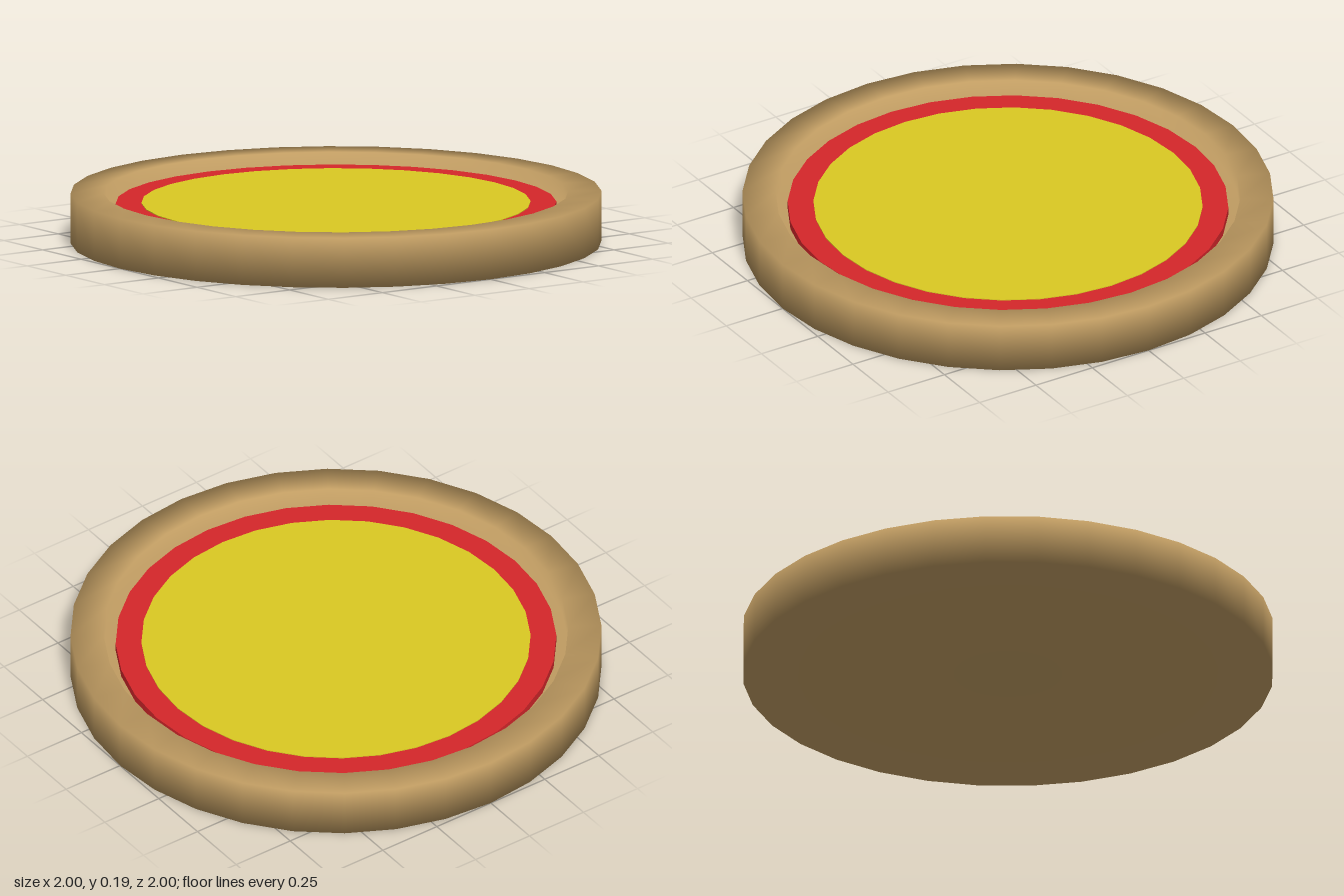
import * as THREE from 'three';
import { mergeVertices } from 'three/addons/utils/BufferGeometryUtils.js';

const SIDES = 32;

// Revolve a profile of [radius, height] pairs, listed from bottom to top
function revolve(profile) {
  const points = profile.map(([r, y]) => new THREE.Vector2(r, y));
  return new THREE.LatheGeometry(points, SIDES);
}

function part(name, geometry, color) {
  const mesh = new THREE.Mesh(geometry, new THREE.MeshStandardMaterial({ color }));
  mesh.name = name;
  return mesh;
}

// Flat-topped disc resting in the crust
function disc(name, radius, bottom, top, color) {
  const geometry = new THREE.CylinderGeometry(radius, radius, top - bottom, SIDES);
  geometry.translate(0, (bottom + top) / 2, 0);
  return part(name, geometry, color);
}

export function createModel() {
  const group = new THREE.Group();
  group.name = 'pizza';

  // Crust: round slab with a raised rim and a recessed floor, softly shaded over its edges
  let crust = revolve([[0, 0], [1, 0], [1, 0.19], [0.875, 0.19], [0.875, 0.12], [0, 0.12]]);
  crust.deleteAttribute('normal');
  crust.deleteAttribute('uv');
  crust = mergeVertices(crust, 1e-4);
  crust.computeVertexNormals();
  group.add(part('crust', crust, 0xc09c62));

  // Sauce and cheese layers
  group.add(disc('sauce', 0.83, 0.12, 0.15, 0xd4262a));
  group.add(disc('cheese', 0.733, 0.15, 0.153, 0xdac822));

  return group;
}
